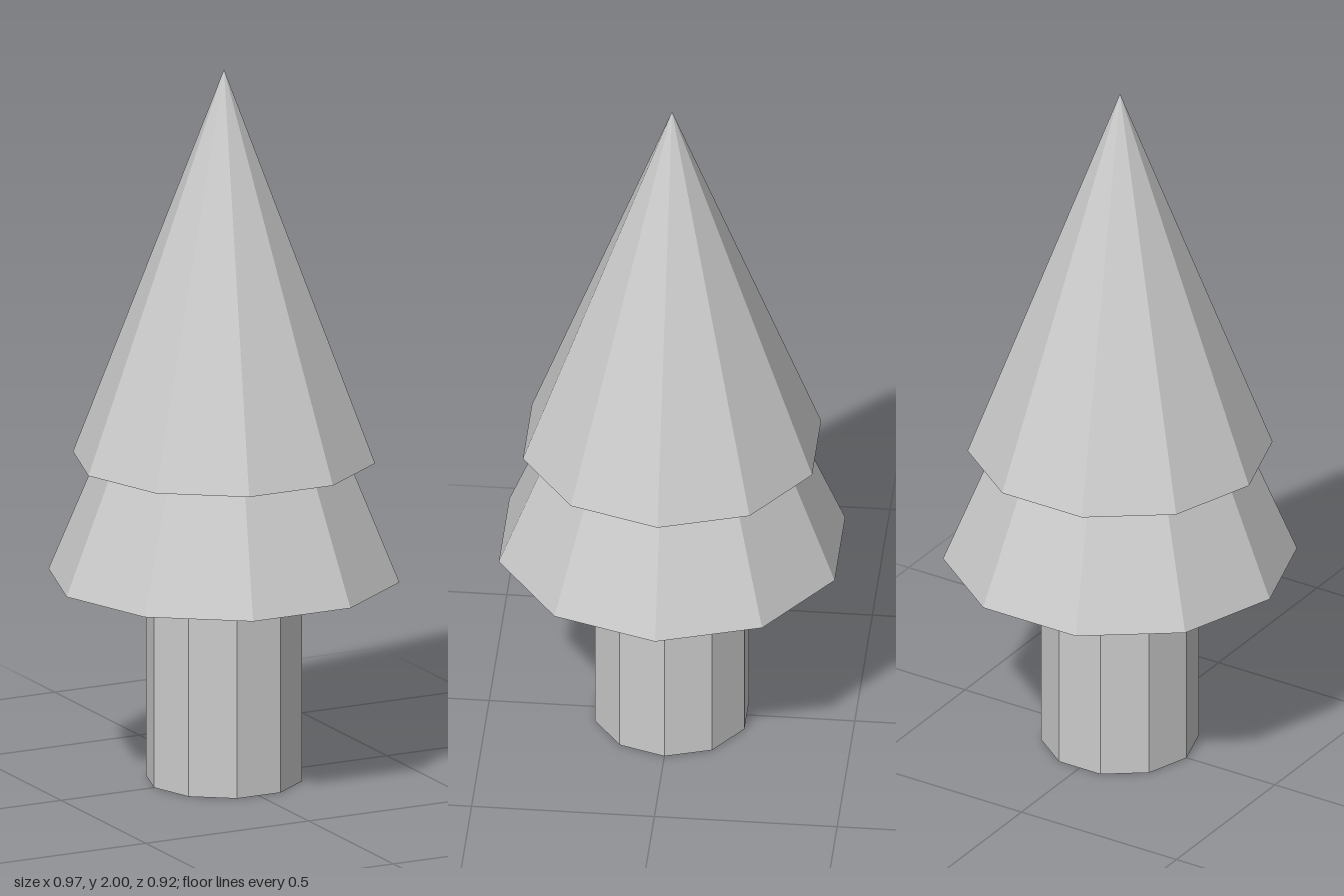
import * as THREE from 'three';

const SIDES = 10;

export function createModel() {
  const group = new THREE.Group();
  const material = new THREE.MeshStandardMaterial({ color: 0xcccccc, flatShading: true });

  // Ten-sided tapered solid with a corner on the x axis
  function addTier(name, topRadius, bottomRadius, bottom, top) {
    const geometry = new THREE.CylinderGeometry(
      topRadius, bottomRadius, top - bottom, SIDES, 1, false, Math.PI / 2);
    const mesh = new THREE.Mesh(geometry, material);
    mesh.name = name;
    mesh.position.y = (bottom + top) / 2;
    group.add(mesh);
  }

  addTier('trunk', 0.215, 0.215, 0, 0.572);
  addTier('lowerFoliage', 0, 0.483, 0.572, 1.74);
  addTier('upperFoliage', 0, 0.416, 0.905, 2);

  return group;
}
